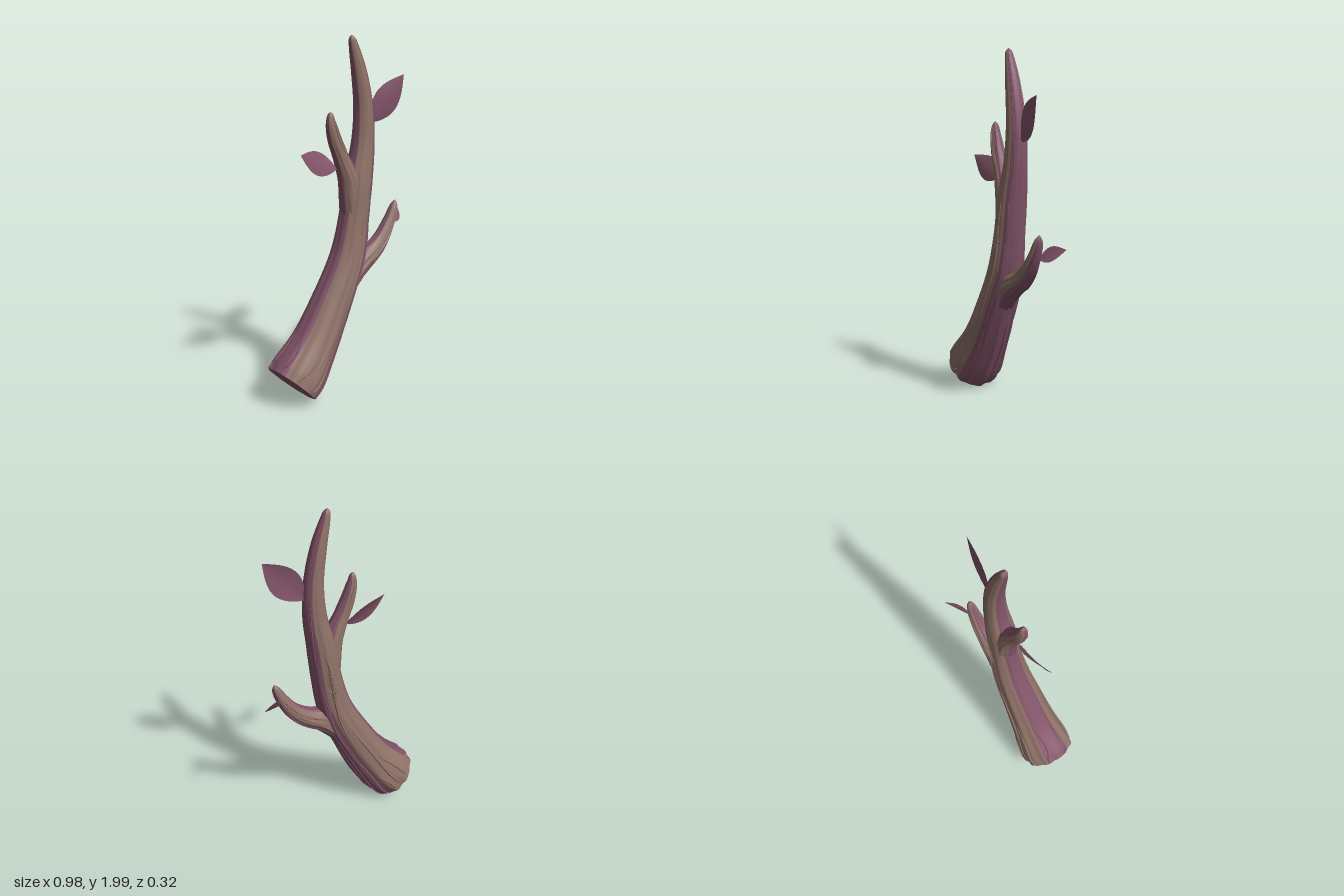
import * as THREE from 'three';

const SIDES = 64;
const brown = new THREE.MeshStandardMaterial({ name: 'brown bark', color: 0x8f7268 });
const mauve = new THREE.MeshStandardMaterial({ name: 'mauve', color: 0x825468, side: THREE.DoubleSide });

// A limb is a flat spine of [x, y, radius]; the result maps (t, angle) to its ridged surface.
// Angle 0 is the +x side, a quarter turn is the front.
function limbSurface(spine, ridge) {
  const curve = new THREE.CatmullRomCurve3(spine.map(p => new THREE.Vector3(...p)), false, 'centripetal');
  return (t, a, lift = 0) => {
    const c = curve.getPoint(t);
    const d = curve.getTangent(t);
    const len = Math.hypot(d.x, d.y);
    const bumps = Math.sin(9 * a + 5 * t) + 0.7 * Math.sin(14 * a - 8 * t + 1);
    const r = Math.max(c.z, 0) * (1 + ridge * bumps * (1 - 0.7 * t)) + lift;
    const side = r * Math.cos(a);
    return new THREE.Vector3(c.x + side * d.y / len, c.y - side * d.x / len, r * Math.sin(a));
  };
}

function geometryFrom(points, index) {
  const g = new THREE.BufferGeometry().setFromPoints(points);
  g.setIndex(index);
  g.computeVertexNormals();
  return g;
}

// Mauve runs along both edges of a limb, brown covers its front and back
const isMauve = (a, t) => Math.cos(a) > 0.46 + 0.16 * t || Math.cos(a) < -0.87;

// Closed bark skin in two colours
function barkMesh(name, surface, rows) {
  const points = [], faces = [[], []];
  for (let i = 0; i <= rows; i++)
    for (let j = 0; j < SIDES; j++) points.push(surface(i / rows, j / SIDES * Math.PI * 2));
  for (let i = 0; i < rows; i++)
    for (let j = 0; j < SIDES; j++) {
      const k = (j + 1) % SIDES;
      const a = i * SIDES + j, b = i * SIDES + k;
      faces[isMauve((j + 0.5) / SIDES * Math.PI * 2, i / rows) ? 1 : 0].push(a, a + SIDES, b, b, a + SIDES, b + SIDES);
    }
  const g = geometryFrom(points, [...faces[0], ...faces[1]]);
  g.addGroup(0, faces[0].length, 0);
  g.addGroup(faces[0].length, faces[1].length, 1);
  const mesh = new THREE.Mesh(g, [brown, mauve]);
  mesh.name = name;
  return mesh;
}

// Sharp bark ridge from (t0, a0) to (t1, a1), pointed at both ends, in the colour of the bark beneath
function ridgeMesh(surface, t0, t1, a0, a1, width) {
  const points = [], index = [], n = 20;
  for (let i = 0; i <= n; i++) {
    const u = i / n, t = t0 + (t1 - t0) * u;
    const a = a0 + (a1 - a0) * u + 0.06 * Math.sin(u * 7);
    const p = surface(t, a), q = surface(t, a + 0.1);
    const swell = Math.sqrt(Math.sin(Math.PI * u) + 1e-6);
    const half = width / 2 * swell * 0.1 / p.distanceTo(q);
    points.push(surface(t, a - half, -0.001), surface(t, a, 0.45 * width * swell), surface(t, a + half, -0.001));
    if (i < n) for (let s = 0; s < 2; s++) {
      const k = i * 3 + s;
      index.push(k, k + 3, k + 1, k + 1, k + 3, k + 4);
    }
  }
  const sharp = geometryFrom(points, index).toNonIndexed();
  sharp.computeVertexNormals();
  const mesh = new THREE.Mesh(sharp, isMauve((a0 + a1) / 2, (t0 + t1) / 2) ? mauve : brown);
  mesh.name = 'barkRidge';
  return mesh;
}

// Leaf blade from base to tip, cupped along the midrib, with a short raised vein on both faces
function leaf(name, base, tip, side, width, bend) {
  const A = new THREE.Vector3(...base), B = new THREE.Vector3(...tip);
  const S = new THREE.Vector3(...side).normalize();
  const N = B.clone().sub(A).cross(S).normalize();
  const at = (u, v, w, lift) => A.clone().lerp(B, u).addScaledVector(S, w * v)
    .addScaledVector(N, bend * 4 * u * (1 - u) + 0.12 * w * v * v + lift);
  const blade = (u0, u1, profile, lift) => {
    const points = [], index = [], n = 16, m = 4;
    for (let i = 0; i <= n; i++)
      for (let j = 0; j <= m; j++) {
        const u = u0 + (u1 - u0) * i / n;
        points.push(at(u, j / m * 2 - 1, profile(i / n), lift));
        if (i < n && j < m) {
          const k = i * (m + 1) + j;
          index.push(k, k + m + 1, k + 1, k + 1, k + m + 1, k + m + 2);
        }
      }
    return geometryFrom(points, index);
  };
  const group = new THREE.Group();
  group.name = name;
  const body = new THREE.Mesh(
    blade(0, 1, u => 0.005 * (1 - u) + width * Math.sin(Math.PI * Math.pow(u, 0.88)), 0), mauve);
  body.name = 'leafBlade';
  group.add(body);
  for (const lift of [-0.004, 0.004]) {
    const vein = new THREE.Mesh(blade(0.02, 0.55, u => 0.06 * width * (1 - u), lift), mauve);
    vein.name = 'leafVein';
    group.add(vein);
  }
  return group;
}

export function createModel() {
  const model = new THREE.Group();
  model.name = 'branch';

  const trunk = limbSurface([
    [-0.38, 0.12, 0.153], [-0.335, 0.165, 0.156], [-0.22, 0.315, 0.132], [-0.1, 0.52, 0.115],
    [0.02, 0.77, 0.098], [0.073, 1.0, 0.085], [0.1, 1.2, 0.08], [0.135, 1.4, 0.064],
    [0.14, 1.6, 0.054], [0.107, 1.8, 0.042], [0.066, 1.95, 0.024], [0.058, 1.985, 0.016], [0.055, 2.0, 0]], 0.024);
  const upperTwig = limbSurface([
    [0.075, 0.95, 0.075], [0.055, 1.1, 0.068], [0.034, 1.22, 0.06], [-0.022, 1.35, 0.044], [-0.066, 1.45, 0.037],
    [-0.09, 1.54, 0.027], [-0.092, 1.59, 0.014], [-0.092, 1.603, 0]], 0.03);
  const lowerTwig = limbSurface([
    [0.0, 0.6, 0.06], [0.1, 0.71, 0.068], [0.2, 0.768, 0.055], [0.28, 0.838, 0.044],
    [0.345, 0.935, 0.034], [0.382, 1.02, 0.02], [0.39, 1.05, 0]], 0.04);

  model.add(barkMesh('trunk', trunk, 72));
  model.add(barkMesh('upperTwig', upperTwig, 36));
  model.add(barkMesh('lowerTwig', lowerTwig, 32));

  // Cut end, slightly domed
  const rim = [new THREE.Vector3(-0.388, 0.112, 0)], fan = [];
  for (let j = 0; j < SIDES; j++) {
    rim.push(trunk(0, j / SIDES * Math.PI * 2));
    fan.push(0, 1 + j, 1 + (j + 1) % SIDES);
  }
  const cut = new THREE.Mesh(geometryFrom(rim, fan), mauve);
  cut.name = 'cutEnd';
  model.add(cut);

  // Ridges [limb, t0, t1, angle0, angle1, width], mirrored front to back
  const ridges = [
    [trunk, 0.01, 0.2, 2.1, 1.85, 0.013], [trunk, 0.03, 0.3, 1.65, 1.6, 0.015],
    [trunk, 0.0, 0.15, 1.35, 1.25, 0.012], [trunk, 0.24, 0.46, 1.25, 1.4, 0.014],
    [trunk, 0.38, 0.5, 1.6, 1.3, 0.012], [trunk, 0.0, 0.24, 0.9, 0.85, 0.013],
    [trunk, 0.0, 0.3, 0.55, 0.5, 0.013], [trunk, 0.02, 0.26, 0.2, 0.22, 0.013],
    [trunk, 0.24, 0.42, 0.85, 0.8, 0.011], [trunk, 0.46, 0.66, 0.65, 0.75, 0.009],
    [trunk, 0.0, 0.18, 2.75, 2.8, 0.012], [trunk, 0.62, 0.9, 0.75, 0.7, 0.007],
    [upperTwig, 0.45, 0.85, 1.3, 1.5, 0.008], [upperTwig, 0.45, 0.75, 0.6, 0.5, 0.008],
    [lowerTwig, 0.26, 0.7, 1.9, 1.6, 0.01], [lowerTwig, 0.25, 0.85, 1.3, 1.2, 0.01],
    [lowerTwig, 0.22, 0.65, 0.75, 0.65, 0.01], [lowerTwig, 0.2, 0.6, 0.25, 0.2, 0.009]];
  for (const [limb, t0, t1, a0, a1, width] of ridges)
    for (const s of [1, -1]) model.add(ridgeMesh(limb, t0, t1, s * a0, s * a1, width));

  // Diamond knot on the back
  for (const s of [0.2, -0.2]) {
    model.add(ridgeMesh(trunk, 0.37, 0.405, -1.45, -1.45 + s, 0.009));
    model.add(ridgeMesh(trunk, 0.405, 0.44, -1.45 + s, -1.45, 0.009));
  }

  model.add(leaf('topLeaf', [0.198, 1.52, 0], [0.41, 1.77, 0.035], [0.74, -0.67, 0.1], 0.08, -0.012));
  model.add(leaf('rightLeaf', [-0.06, 1.29, 0.01], [-0.31, 1.397, 0.02], [0.36, 0.8, -0.36], 0.065, 0.01));
  model.add(leaf('lowerLeaf', [0.37, 0.915, -0.015], [0.495, 0.98, -0.1], [-0.57, 0.74, -0.33], 0.042, 0.006));
  return model;
}
